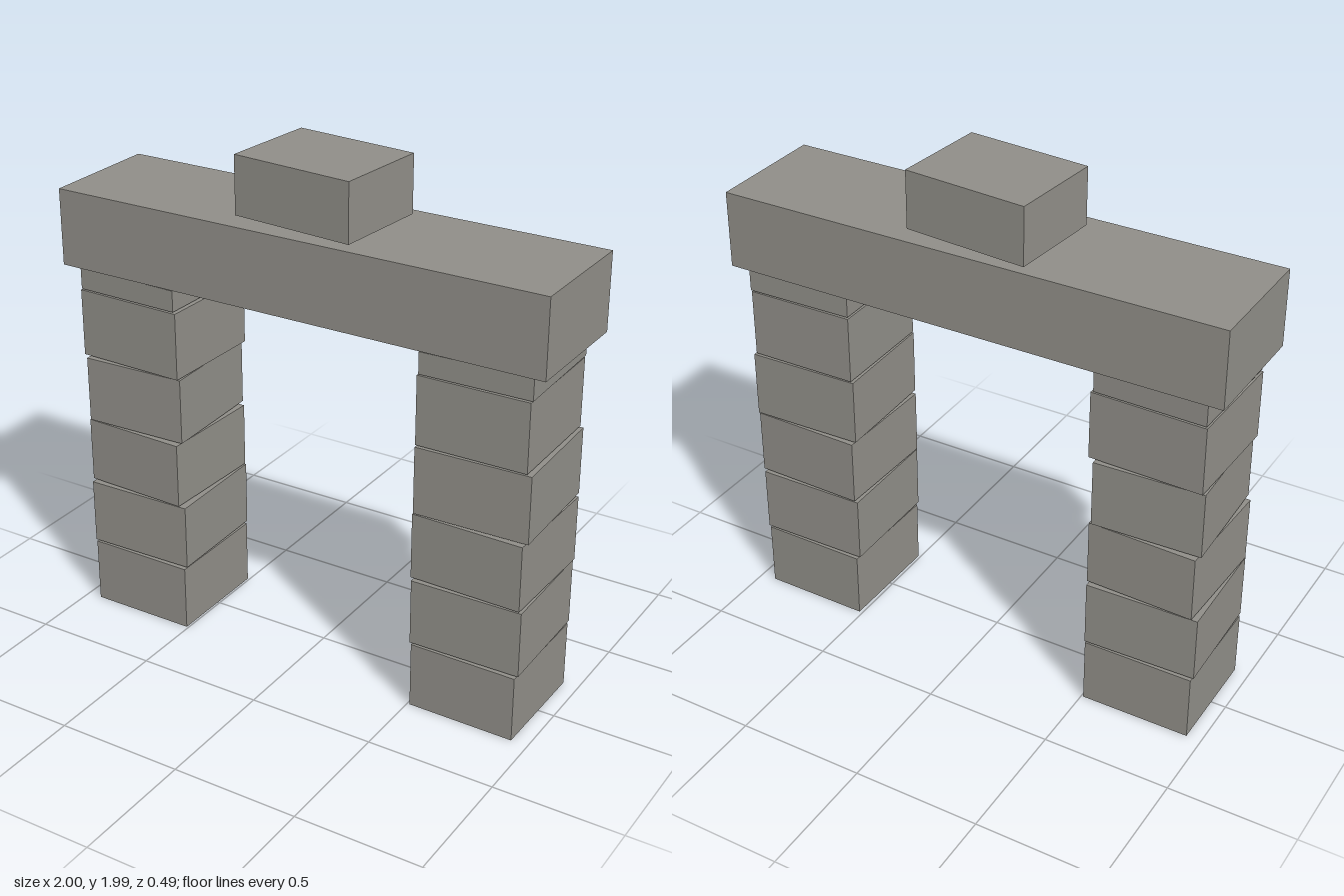
import * as THREE from 'three';

const stone = new THREE.MeshStandardMaterial({ color: 0x8f8d87, side: THREE.DoubleSide });
stone.name = 'grey stone';

// Hollow stone block, open underneath, spanning y0 to y1
function block(name, w, d, y0, y1, x = 0, z = 0, turn = 0) {
  const geo = new THREE.BoxGeometry(w, y1 - y0, d);
  const index = Array.from(geo.index.array);
  index.splice(18, 6); // drop the bottom face
  geo.setIndex(index);
  geo.clearGroups();
  const mesh = new THREE.Mesh(geo, stone);
  mesh.name = name;
  mesh.position.set(x, (y0 + y1) / 2, z);
  mesh.rotation.y = turn;
  return mesh;
}

// Bottom and top height of each course
const courses = [[0.003, 0.267], [0.278, 0.54], [0.55, 0.81], [0.82, 1.083], [1.09, 1.357], [1.363, 1.447]];

// Per block: centre x, width, turn
const leftBlocks = [
  [0.724, 0.424, -0.01], [0.7235, 0.439, 0.011], [0.7245, 0.439, -0.022],
  [0.727, 0.447, 0.025], [0.722, 0.43, 0.01], [0.7265, 0.43, 0.02],
];
const rightBlocks = [
  [-0.7245, 0.433, 0], [-0.7245, 0.442, 0.022], [-0.7245, 0.426, -0.035],
  [-0.7245, 0.426, 0.035], [-0.722, 0.444, -0.025], [-0.725, 0.43, -0.02],
];

function pillar(name, blocks) {
  const group = new THREE.Group();
  group.name = name;
  blocks.forEach(([x, w, turn], i) => {
    const [y0, y1] = courses[i];
    group.add(block('pillarBlock' + (i + 1), w, 0.437, y0, y1, x, 0, turn));
  });
  return group;
}

export function createModel() {
  const model = new THREE.Group();
  model.name = 'stoneArch';
  model.add(pillar('leftPillar', leftBlocks), pillar('rightPillar', rightBlocks));
  // Beam across the pillars and the turned stone on top
  model.add(block('lintel', 2, 0.487, 1.459, 1.759));
  model.add(block('capstone', 0.495, 0.387, 1.77, 1.995, -0.002, -0.005, -0.087));
  return model;
}
